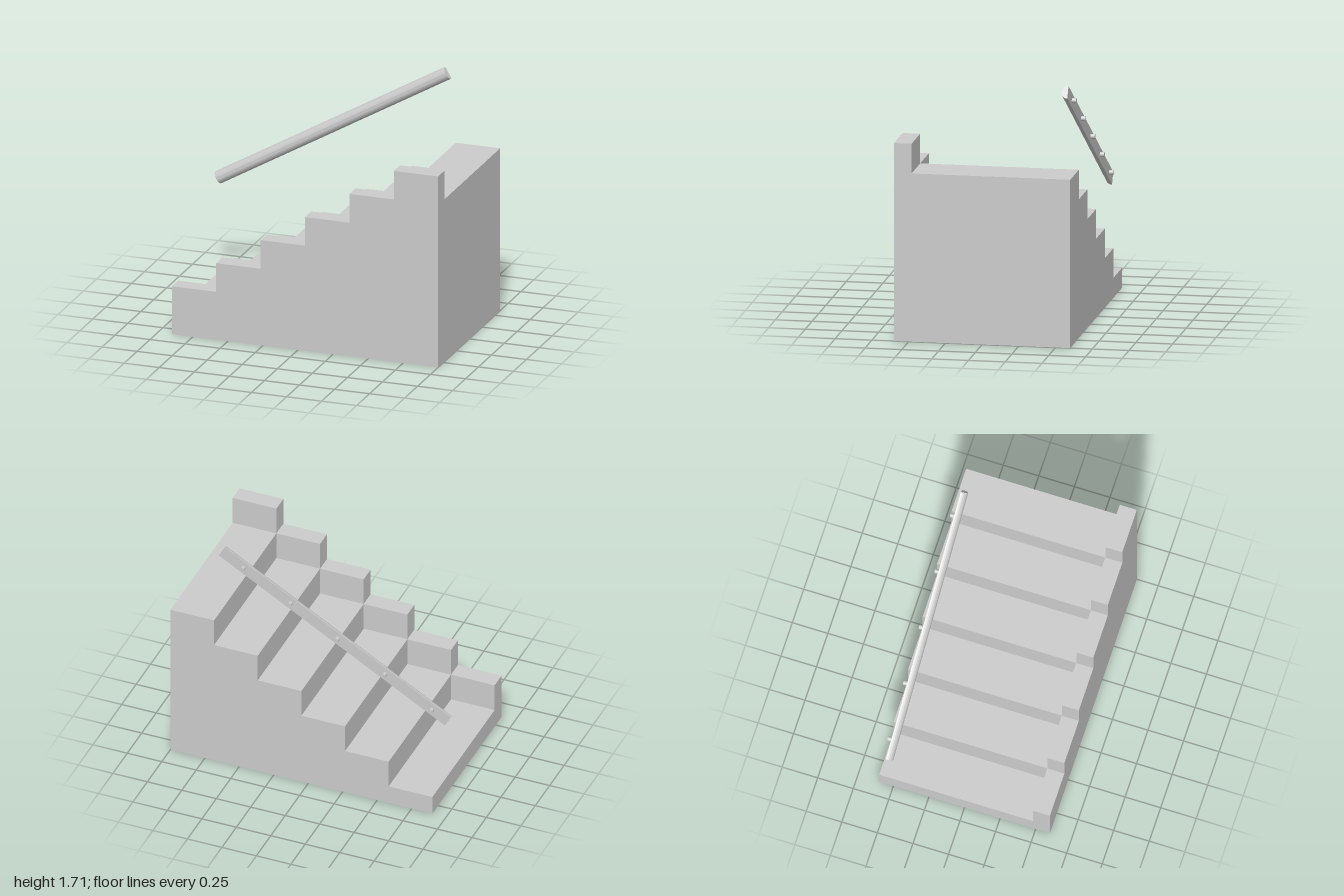
import * as THREE from 'three';
import { toCreasedNormals } from 'three/addons/utils/BufferGeometryUtils.js';

const STEPS = 6;
const X0 = -0.9, X1 = 1;
const RUN = (X1 - X0) / STEPS;
const RISE = 0.2033;

const material = new THREE.MeshStandardMaterial({ color: 0xcccccc });

function addMesh(parent, name, geometry) {
  const mesh = new THREE.Mesh(geometry, material);
  mesh.name = name;
  parent.add(mesh);
  return mesh;
}

// Stepped side profile, extruded between two z positions
function steppedBlock(firstHeight, zBack, zFront) {
  const shape = new THREE.Shape();
  shape.moveTo(X0, 0);
  shape.lineTo(X1, 0);
  for (let i = STEPS - 1; i >= 0; i--) {
    const y = firstHeight + i * RISE;
    shape.lineTo(X0 + (i + 1) * RUN, y);
    shape.lineTo(X0 + i * RUN, y);
  }
  shape.closePath();
  const geometry = new THREE.ExtrudeGeometry(shape, { depth: zFront - zBack, bevelEnabled: false });
  return geometry.translate(0, 0, zBack);
}

export function createModel() {
  const model = new THREE.Group();
  model.name = 'staircase';

  // Solid stairs and the stepped side wall, one riser higher
  addMesh(model, 'stairs', steppedBlock(0.137, -0.6, 0.48));
  addMesh(model, 'sideWall', steppedBlock(0.137 + RISE, 0.48, 0.6));

  // Sloped handrail, local x runs along the rail
  const handrail = new THREE.Group();
  handrail.name = 'handrail';
  handrail.position.set(-0.16, 1.203, -0.521);
  handrail.rotation.z = Math.PI / 6;
  model.add(handrail);

  // Half-round rail with its flat face to the back
  const length = 1.892, radius = 0.045;
  const profile = new THREE.Shape();
  profile.absarc(0, 0, radius, -Math.PI / 2, Math.PI / 2, false);
  profile.closePath();
  const rail = new THREE.ExtrudeGeometry(profile, { depth: length, bevelEnabled: false, curveSegments: 24 });
  rail.translate(0, 0, -length / 2).rotateY(-Math.PI / 2);
  addMesh(handrail, 'rail', toCreasedNormals(rail, Math.PI / 6));

  // Short round wall mounts behind the rail
  for (let i = 0; i < 5; i++) {
    const mount = new THREE.CylinderGeometry(0.016, 0.016, 0.03, 20).rotateX(Math.PI / 2);
    addMesh(handrail, 'railMount', mount).position.set((i - 2) * 0.395 - 0.023, 0, -0.014);
  }

  return model;
}
